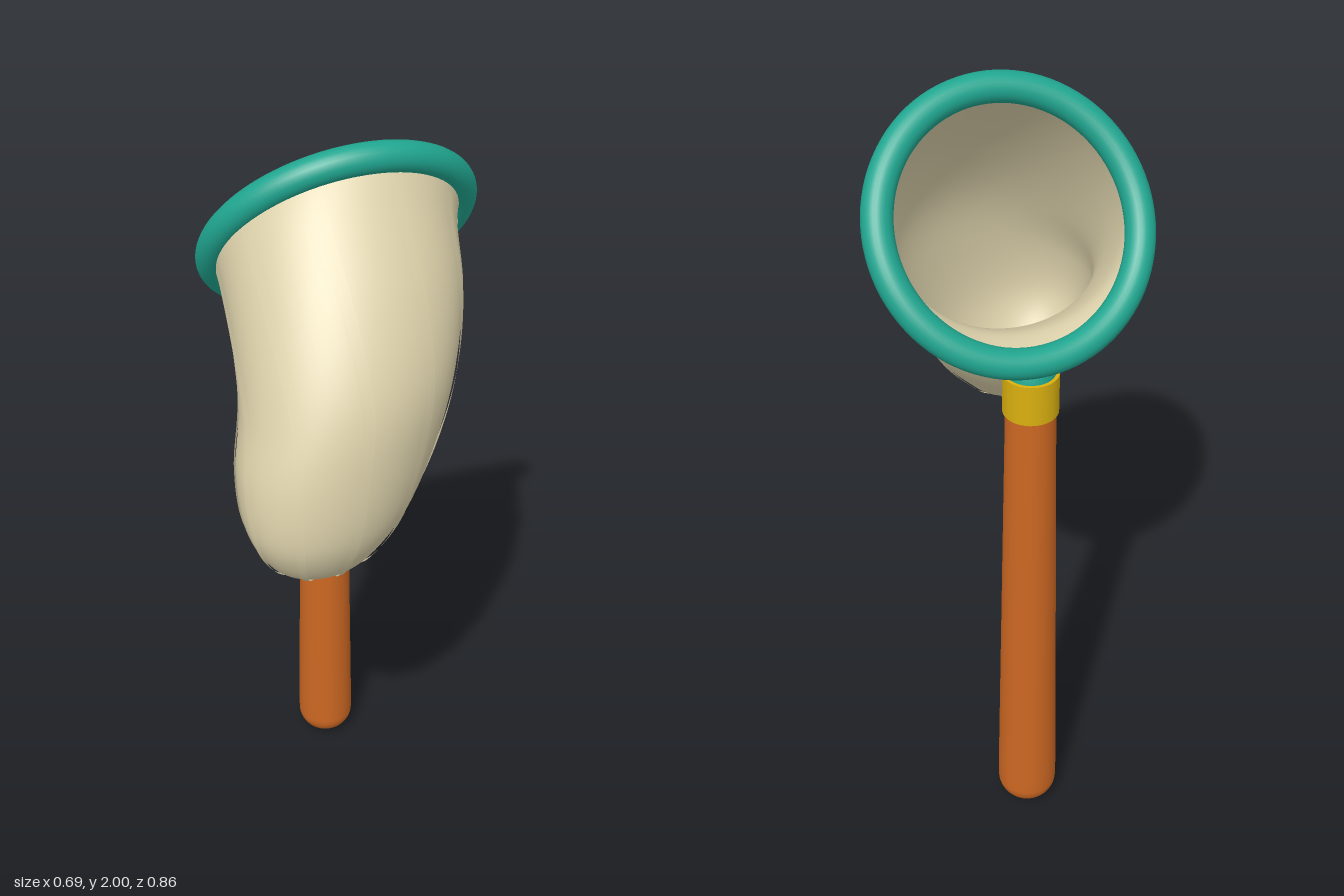
import * as THREE from 'three';
import { mergeVertices } from 'three/addons/utils/BufferGeometryUtils.js';

const material = (name, color, side = THREE.FrontSide) =>
  Object.assign(new THREE.MeshStandardMaterial({ color, side }), { name });

// Rim placement: the mouth faces up and back to one side
const rimCentre = new THREE.Vector3(-0.095, 1.718, -0.1);
const rimNormal = new THREE.Vector3(-0.715, 0.59, -0.375).normalize();

// Bag cross-sections: centre x, y, z, half width, half depth, tilt in degrees
const sections = [
  [-0.095, 1.718, -0.1, 0.305, 0.305, 53.8],
  [-0.03, 1.685, -0.04, 0.288, 0.262, 50],
  [0.06, 1.58, 0.03, 0.285, 0.237, 35],
  [0.118, 1.46, 0.098, 0.274, 0.222, 18],
  [0.139, 1.33, 0.153, 0.268, 0.2, 8],
  [0.148, 1.2, 0.195, 0.232, 0.17, 0],
  [0.15, 1.1, 0.215, 0.165, 0.123, 0],
  [0.145, 1.048, 0.21, 0.1, 0.075, 0],
  [0.143, 1.023, 0.207, 0.002, 0.002, 0],
];
const curveOf = (k) => new THREE.CatmullRomCurve3(
  sections.map((s) => new THREE.Vector3(s[k], s[k + 1], s[k + 2])), false, 'catmullrom');
const centres = curveOf(0);
const shapes = curveOf(3);

// The sections turn about y as they level out below the rim
function bagPoint(t, angle, lift) {
  const s = shapes.getPoint(t);
  const tilt = THREE.MathUtils.degToRad(s.z);
  const yaw = tilt * 0.515;
  const across = new THREE.Vector3(Math.sin(yaw), 0, -Math.cos(yaw));
  const rise = new THREE.Vector3(
    Math.cos(yaw) * Math.cos(tilt), Math.sin(tilt), Math.sin(yaw) * Math.cos(tilt));
  return centres.getPoint(t)
    .addScaledVector(across, Math.cos(angle) * (Math.max(s.x, 0) + lift))
    .addScaledVector(rise, Math.sin(angle) * (Math.max(s.y, 0) + lift));
}

// Patch of the bag surface between two parameters and two angles
function bagPatch(t0, t1, a0, a1, rows, cols, lift) {
  const positions = [], index = [];
  for (let r = 0; r <= rows; r++) {
    for (let c = 0; c <= cols; c++) {
      const p = bagPoint(t0 + (t1 - t0) * r / rows, a0 + (a1 - a0) * c / cols, lift);
      positions.push(p.x, p.y, p.z);
      if (r < rows && c < cols) {
        const i = r * (cols + 1) + c, j = i + cols + 1;
        index.push(i, i + 1, j, i + 1, j + 1, j);
      }
    }
  }
  let geometry = new THREE.BufferGeometry();
  geometry.setAttribute('position', new THREE.Float32BufferAttribute(positions, 3));
  geometry.setIndex(index);
  geometry = mergeVertices(geometry, 1e-5);
  geometry.computeVertexNormals();
  return geometry;
}

export function createModel() {
  const group = new THREE.Group();
  const wood = material('orange wood', 0xcc6722);
  const brass = material('yellow brass', 0xdab010);
  const teal = material('teal rim', 0x20a690);
  const cloth = material('cream cloth', 0xdbd0aa, THREE.DoubleSide);

  const add = (name, geometry, mat, x = 0, y = 0, z = 0) => {
    const mesh = new THREE.Mesh(geometry, mat);
    mesh.name = name;
    mesh.position.set(x, y, z);
    group.add(mesh);
    return mesh;
  };
  const lathe = (points) =>
    new THREE.LatheGeometry(points.map(([r, y]) => new THREE.Vector2(r, y)), 40);
  const hx = -0.205, hz = -0.17;

  // Tapered handle with a rounded butt
  const butt = [];
  for (let i = 0; i <= 10; i++) {
    const a = (i / 10) * Math.PI / 2;
    butt.push([0.078 * Math.sin(a), 0.07 - 0.07 * Math.cos(a)]);
  }
  add('handle', lathe([...butt, [0.078, 0.12], [0.059, 1.33]]), wood, hx, 0, hz);

  // Metal collar and the socket joining it to the rim
  add('ferrule', new THREE.CylinderGeometry(0.066, 0.066, 0.105, 40), brass, hx, 1.358, hz);
  add('socket', lathe([[0.058, 1.405], [0.055, 1.43], [0.042, 1.455], [0.025, 1.47], [0, 1.475]]),
    teal, hx, 0, hz);

  // Round rim of the net
  const rim = add('rim', new THREE.TorusGeometry(0.308, 0.036, 24, 96), teal, ...rimCentre.toArray());
  rim.quaternion.setFromUnitVectors(new THREE.Vector3(0, 0, 1), rimNormal);

  // Sagging bag
  add('bag', bagPatch(0, 1, 0, Math.PI * 2, 72, 72, 0), cloth);

  // Thin seam strips running down the bag
  for (let i = 0; i < 10; i++) {
    const a = THREE.MathUtils.degToRad(112 + 36 * i);
    add('seam', bagPatch(0.08, 0.94, a - 0.055, a + 0.055, 48, 3, 0.005), cloth);
  }
  return group;
}
